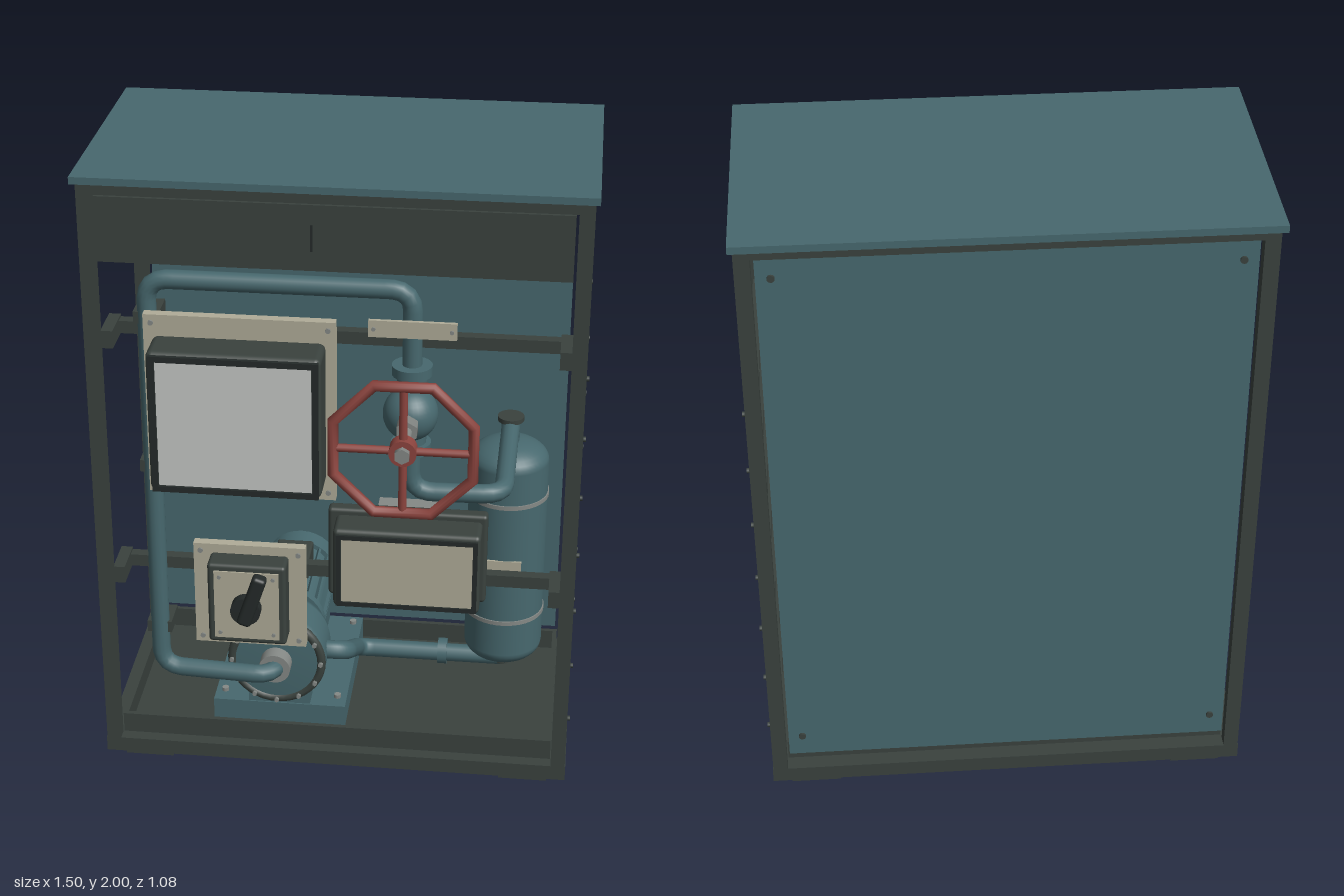
import * as THREE from 'three';
import { RoundedBoxGeometry } from 'three/addons/geometries/RoundedBoxGeometry.js';

const mat = (name, color, extra = {}) => new THREE.MeshStandardMaterial({ name, color, ...extra });

export function createModel() {
  const teal = mat('teal paint', 0x47686e);
  const dark = mat('dark frame', 0x3a423e);
  const black = mat('black plastic', 0x242a29);
  const cream = mat('cream plate', 0xb0ac98);
  const glass = mat('pale glass', 0xc6c8c5);
  const red = mat('red wheel', 0x8c443e);
  const steel = mat('grey steel', 0x858986);

  const root = new THREE.Group();
  root.name = 'equipmentCabinet';
  let parent = root;
  const group = (name) => {
    parent = new THREE.Group();
    parent.name = name;
    root.add(parent);
    return parent;
  };
  const add = (name, geo, m, x = 0, y = 0, z = 0) => {
    const mesh = new THREE.Mesh(geo, m);
    mesh.name = name;
    mesh.position.set(x, y, z);
    parent.add(mesh);
    return mesh;
  };
  // box from its limits, with optional rounded edges
  const box = (name, m, x0, x1, y0, y1, z0, z1, r = 0) => {
    const s = [x1 - x0, y1 - y0, z1 - z0];
    const geo = r ? new RoundedBoxGeometry(...s, 3, r) : new THREE.BoxGeometry(...s);
    return add(name, geo, m, (x0 + x1) / 2, (y0 + y1) / 2, (z0 + z1) / 2);
  };
  const cyl = (name, m, r, len, x, y, z, axis = 'z', sides = 32) => {
    const geo = new THREE.CylinderGeometry(r, r, len, sides);
    if (axis === 'z') geo.rotateX(Math.PI / 2);
    if (axis === 'x') geo.rotateZ(Math.PI / 2);
    return add(name, geo, m, x, y, z);
  };
  // pipe through points with rounded bends
  const pipe = (name, m, r, bend, pts) => {
    const v = pts.map((p) => new THREE.Vector3(...p));
    const path = new THREE.CurvePath();
    let from = v[0];
    for (let i = 1; i < v.length - 1; i++) {
      const a = v[i].clone().add(v[i - 1].clone().sub(v[i]).setLength(bend));
      const b = v[i].clone().add(v[i + 1].clone().sub(v[i]).setLength(bend));
      path.add(new THREE.LineCurve3(from, a));
      path.add(new THREE.QuadraticBezierCurve3(a, v[i], b));
      from = b;
    }
    path.add(new THREE.LineCurve3(from, v[v.length - 1]));
    return add(name, new THREE.TubeGeometry(path, 160, r, 14), m);
  };
  // rectangular frame in the front plane
  const frame = (name, m, x0, x1, y0, y1, z0, z1, w) => {
    box(name, m, x0, x1, y1 - w, y1, z0, z1);
    box(name, m, x0, x1, y0, y0 + w, z0, z1);
    box(name, m, x0, x0 + w, y0 + w, y1 - w, z0, z1);
    box(name, m, x1 - w, x1, y0 + w, y1 - w, z0, z1);
  };
  const screws = (m, x0, x1, y0, y1, z, r = 0.008) => {
    for (const x of [x0, x1]) for (const y of [y0, y1]) cyl('screw', m, r, 0.008, x, y, z, 'z', 10);
  };

  // Cabinet shell
  group('cabinet');
  box('lid', teal, -0.75, 0.75, 1.978, 2, -0.54, 0.28);
  for (const s of [-1, 1]) {
    const [x0, x1] = s < 0 ? [-0.738, -0.693] : [0.693, 0.738];
    box('frontPost', dark, x0, x1, 0.07, 1.978, 0.217, 0.255);
    box('rearPost', dark, x0, x1, 0.07, 1.978, -0.51, -0.472);
    box('sideTopRail', dark, x0, x1, 1.94, 1.978, -0.472, 0.217);
    box('trayWall', dark, s < 0 ? -0.69 : 0.675, s < 0 ? -0.675 : 0.69, 0.075, 0.143, -0.46, 0.215);
    for (const z of [-0.43, 0.17]) box('foot', dark, s * 0.605 - 0.077, s * 0.605 + 0.077, 0, 0.025, z - 0.06, z + 0.06);
  }
  box('frontTopRail', dark, -0.693, 0.693, 1.94, 1.978, 0.217, 0.255);
  box('rearTopRail', dark, -0.693, 0.693, 1.94, 1.978, -0.51, -0.472);
  box('base', dark, -0.74, 0.74, 0.025, 0.075, -0.51, 0.255);
  box('trayFront', dark, -0.69, 0.69, 0.075, 0.143, 0.2, 0.215);
  box('trayRear', dark, -0.69, 0.69, 0.075, 0.143, -0.46, -0.445);
  box('headerPanel', dark, -0.685, 0.685, 1.74, 1.94, 0.25, 0.265);
  box('headerSlot', black, -0.062, -0.056, 1.8, 1.88, 0.265, 0.269);
  box('backPanel', teal, -0.683, 0.683, 0.135, 1.945, -0.505, -0.493);
  screws(dark, -0.64, 0.64, 0.21, 1.88, -0.508, 0.011);

  // Bars across the right-hand opening of the views (model left)
  group('sideBars');
  for (let i = 0; i < 7; i++) {
    const y = 0.25 + i * 0.1967;
    box('sideBar', dark, 0.7, 0.725, y - 0.008, y + 0.008, -0.472, 0.217);
    for (const z of [-0.49, 0.236]) cyl('barScrew', dark, 0.008, 0.01, 0.741, y, z, 'x', 10);
  }

  // Mounting rails behind the instruments
  group('mountingRails');
  for (const y of [1.475, 0.67]) {
    box('crossRail', dark, -0.695, 0.695, y - 0.02, y + 0.02, 0.095, 0.13);
    for (const s of [-1, 1]) box('railBracket', dark, s * 0.677 - 0.018, s * 0.677 + 0.018, y - 0.028, y + 0.028, 0.095, 0.225);
  }
  for (const x of [-0.45, -0.1]) box('plateStandoff', steel, x - 0.015, x + 0.015, 1.46, 1.49, 0.13, 0.255);
  for (const x of [-0.36, -0.14]) box('plateStandoff', steel, x - 0.015, x + 0.015, 0.655, 0.685, 0.13, 0.255);
  box('displayMount', steel, 0.13, 0.33, 0.72, 0.945, 0.13, 0.255);

  // Large viewing panel
  group('viewingPanel');
  box('panelPlate', cream, -0.553, 0.012, 1.01, 1.59, 0.255, 0.285);
  screws(steel, -0.53, -0.01, 1.035, 1.565, 0.287);
  box('panelBox', dark, -0.524, -0.015, 1.08, 1.53, 0.285, 0.42, 0.02);
  frame('panelBezel', black, -0.515, -0.022, 1.085, 1.522, 0.41, 0.428, 0.018);
  box('panelGlass', glass, -0.495, -0.042, 1.105, 1.502, 0.415, 0.423);

  // Rotary switch
  group('rotarySwitch');
  box('switchPlate', cream, -0.427, -0.082, 0.485, 0.835, 0.255, 0.285);
  screws(steel, -0.405, -0.104, 0.507, 0.812, 0.287);
  box('switchBox', dark, -0.373, -0.132, 0.535, 0.81, 0.285, 0.365, 0.012);
  box('switchFace', cream, -0.352, -0.153, 0.556, 0.789, 0.362, 0.37);
  screws(steel, -0.335, -0.17, 0.575, 0.77, 0.371, 0.006);
  cyl('switchHub', black, 0.046, 0.035, -0.252, 0.67, 0.385);
  const lever = box('switchLever', black, -0.25, -0.206, 0.635, 0.81, 0.395, 0.438, 0.012);
  lever.rotation.z = -0.32;

  // Small display unit
  group('displayUnit');
  box('displayFlange', dark, -0.01, 0.47, 0.69, 0.99, 0.255, 0.3, 0.012);
  box('displayBox', dark, 0.015, 0.455, 0.705, 0.97, 0.285, 0.395, 0.015);
  frame('displayBezel', black, 0.025, 0.447, 0.713, 0.955, 0.385, 0.402, 0.014);
  box('displayScreen', cream, 0.04, 0.433, 0.727, 0.941, 0.39, 0.397);

  // Main pipe run from pump to tank, with clamps
  group('pipework');
  pipe('mainPipe', teal, 0.029, 0.07, [[-0.19, 0.345, 0.16], [-0.19, 0.345, 0.245], [-0.553, 0.345, 0.222],
    [-0.553, 1.675, 0.218], [0.23, 1.675, 0.218], [0.23, 1.02, 0.218], [0.51, 1.02, 0.21], [0.51, 1.02, -0.253]]);
  pipe('lowerPipe', teal, 0.03, 0.06, [[-0.19, 0.35, 0.08], [0.02, 0.35, 0.08], [0.02, 0.155, -0.253], [0.51, 0.155, -0.253]]);
  cyl('pipeUnion', teal, 0.043, 0.03, 0.31, 0.16, -0.253, 'x');
  for (const y of [1.555, 1.065, 0.495]) box('pipeClamp', dark, -0.592, -0.515, y - 0.019, y + 0.019, 0.13, 0.235);
  box('tagPlate', cream, 0.105, 0.362, 1.545, 1.597, 0.258, 0.27);
  screws(steel, 0.12, 0.347, 1.571, 1.571, 0.272, 0.006);

  // Valve and handwheel
  group('valve');
  const wx = 0.23, wy = 1.3;
  add('valveBody', new THREE.SphereGeometry(0.082, 32, 20), teal, wx, wy, 0.255);
  for (const s of [-1, 1]) {
    cyl('valveFlange', teal, 0.06, 0.03, wx, wy + s * 0.125, 0.218, 'y');
    cyl('valveNeck', teal, 0.045, 0.08, wx, wy + s * 0.08, 0.218, 'y');
  }
  cyl('valveNut', steel, 0.034, 0.045, wx, wy, 0.362, 'z', 6);
  cyl('valveStem', steel, 0.016, 0.22, wx, wy, 0.425, 'z', 16);
  cyl('stemNut', steel, 0.024, 0.02, wx, wy, 0.53, 'z', 6);
  const rim = add('handwheelRim', new THREE.TorusGeometry(0.217, 0.017, 12, 8), red, wx, wy, 0.5);
  rim.rotation.z = Math.PI / 8;
  cyl('handwheelHub', red, 0.04, 0.045, wx, wy, 0.5);
  cyl('handwheelSpoke', red, 0.012, 0.4, wx, wy, 0.5, 'x', 12);
  cyl('handwheelSpoke', red, 0.012, 0.4, wx, wy, 0.5, 'y', 12);

  // Pressure tank
  group('tank');
  const tankR = 0.128, profile = [];
  for (let i = 0; i <= 8; i++) {
    const a = (i / 8) * Math.PI / 2;
    profile.push(new THREE.Vector2(tankR * Math.sin(a), 0.235 - 0.07 * Math.cos(a)));
  }
  for (let i = 8; i >= 0; i--) {
    const a = (i / 8) * Math.PI / 2;
    profile.push(new THREE.Vector2(tankR * Math.sin(a), 0.905 + 0.07 * Math.cos(a)));
  }
  add('tankBody', new THREE.LatheGeometry(profile, 40), teal, 0.51, 0, -0.253);
  cyl('tankNeck', teal, 0.03, 0.08, 0.51, 1.0, -0.253, 'y');
  cyl('tankCap', dark, 0.042, 0.015, 0.51, 1.05, -0.253, 'y');
  cyl('tankOutlet', dark, 0.03, 0.04, 0.51, 0.16, -0.253, 'y');
  for (const y of [0.79, 0.36]) {
    cyl('tankBand', steel, 0.132, 0.014, 0.51, y, -0.253, 'y', 40);
    box('tankBracket', steel, 0.4, 0.62, y - 0.01, y + 0.01, -0.493, -0.34);
  }
  box('tankLabel', cream, 0.455, 0.565, 0.555, 0.595, -0.13, -0.122);

  // Pump and motor
  group('pump');
  const px = -0.195, py = 0.345;
  const volute = [[0, -0.02], [0.13, -0.02], [0.15, -0.01], [0.157, 0.015], [0.157, 0.125], [0.15, 0.15], [0.13, 0.16], [0, 0.16]];
  const body = new THREE.LatheGeometry(volute.map((p) => new THREE.Vector2(...p)), 40);
  add('pumpBody', body.rotateX(Math.PI / 2), teal, px, py, 0);
  add('pumpRing', new THREE.TorusGeometry(0.143, 0.015, 8, 40), dark, px, py, 0.15);
  for (let i = 0; i < 12; i++) {
    const a = (i / 12) * Math.PI * 2;
    cyl('pumpBolt', steel, 0.008, 0.01, px + 0.143 * Math.cos(a), py + 0.143 * Math.sin(a), 0.168, 'z', 6);
  }
  cyl('inletFlange', steel, 0.05, 0.05, px, py, 0.185);
  cyl('coupling', dark, 0.1, 0.08, px, py, -0.05);
  cyl('motorBody', teal, 0.11, 0.37, px, py, -0.265);
  cyl('motorEnd', teal, 0.125, 0.07, px, py, -0.435);
  cyl('motorEnd', teal, 0.125, 0.03, px, py, -0.09);
  for (let i = 0; i < 20; i++) {
    const a = (i / 20) * Math.PI * 2;
    const fin = box('motorFin', teal, -0.008, 0.008, -0.004, 0.004, -0.4, -0.1);
    fin.position.set(px + 0.115 * Math.cos(a), py + 0.115 * Math.sin(a), -0.25);
    fin.rotation.z = a;
  }
  box('terminalBox', dark, px - 0.06, px + 0.06, 0.45, 0.52, -0.32, -0.18, 0.008);
  pipe('motorCable', black, 0.009, 0.05, [[-0.25, 0.56, 0.27], [-0.25, 0.55, 0.1], [px, 0.53, -0.2], [px, 0.48, -0.24]]);
  box('pumpBase', teal, -0.41, 0.02, 0.075, 0.155, -0.44, 0.115);
  for (const s of [-1, 1]) {
    box('motorLeg', teal, px + s * 0.085 - 0.015, px + s * 0.085 + 0.015, 0.155, 0.3, -0.43, -0.1);
    for (const z of [-0.4, 0.06]) cyl('baseBolt', steel, 0.012, 0.014, px + s * 0.185, 0.16, z, 'y', 6);
  }
  box('pumpLeg', teal, px - 0.1, px + 0.1, 0.155, 0.24, 0.04, 0.11);

  return root;
}
